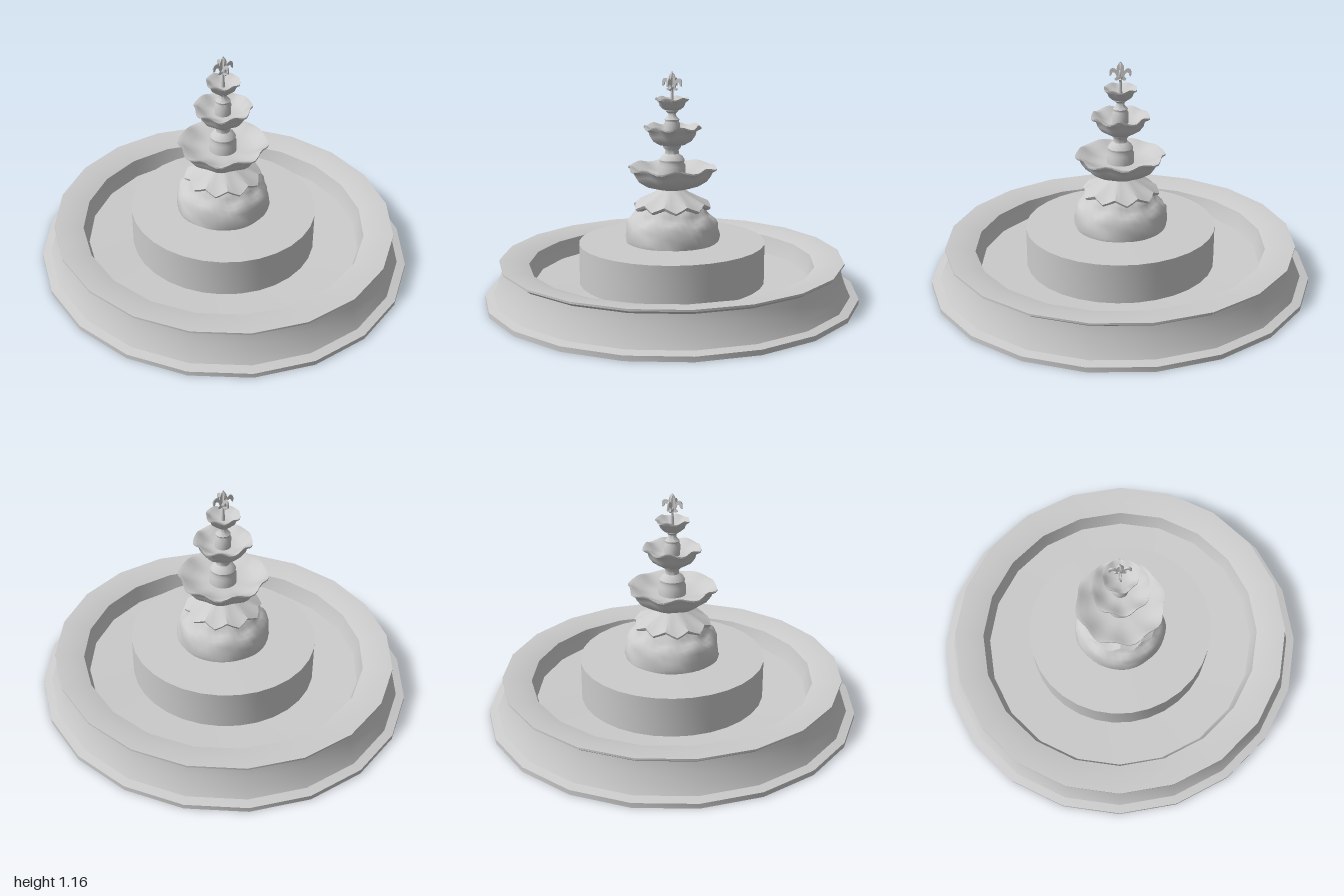
import * as THREE from 'three';
import { toCreasedNormals } from 'three/addons/utils/BufferGeometryUtils.js';

const material = new THREE.MeshStandardMaterial({ color: 0xcccccc, side: THREE.DoubleSide });

function add(group, name, geometry) {
  const mesh = new THREE.Mesh(geometry, material);
  mesh.name = name;
  group.add(mesh);
  return mesh;
}

// Lathe from [radius, height] pairs; warp(angle, r, y) may return a new [r, y]
function turned(profile, sides, crease, warp) {
  const geo = new THREE.LatheGeometry(profile.map(([r, y]) => new THREE.Vector2(r, y)), sides);
  if (warp) {
    const p = geo.attributes.position;
    for (let i = 0; i < p.count; i++) {
      const a = Math.atan2(p.getX(i), p.getZ(i));
      const [r, y] = warp(a, Math.hypot(p.getX(i), p.getZ(i)), p.getY(i));
      p.setXYZ(i, r * Math.sin(a), y, r * Math.cos(a));
    }
  }
  return toCreasedNormals(geo, crease);
}

// Scalloped bowl: the waves fade in towards the rim
function bowl(profile, rimRadius, lobes, wave, phase) {
  return turned(profile, 48, 0.9, (a, r, y) => {
    const k = Math.pow(r / rimRadius, 4);
    const c = Math.cos(lobes * a + phase);
    return [r * (1 + 0.035 * k * c), y - wave * k * c];
  });
}

function finialShape() {
  const s = new THREE.Shape();
  s.moveTo(0.006, 1.03);
  s.lineTo(0.006, 1.07);
  // side petal curling outwards
  s.quadraticCurveTo(0.026, 1.058, 0.03, 1.075);
  s.quadraticCurveTo(0.018, 1.078, 0.02, 1.088);
  s.quadraticCurveTo(0.026, 1.112, 0.042, 1.105);
  s.quadraticCurveTo(0.042, 1.09, 0.053, 1.087);
  s.quadraticCurveTo(0.06, 1.125, 0.038, 1.128);
  s.quadraticCurveTo(0.018, 1.125, 0.009, 1.09);
  // middle petal
  s.quadraticCurveTo(0.032, 1.13, 0, 1.16);
  const half = s.getPoints(6);
  const mirror = half.slice(0, -1).reverse().map(p => new THREE.Vector2(-p.x, p.y));
  return new THREE.Shape([...half, ...mirror]);
}

export function createModel() {
  const model = new THREE.Group();
  model.name = 'fountain';

  // Pool: flared outer wall, lip, inner wall and floor, open underneath
  const pool = add(model, 'pool', turned([
    [1, 0], [1, 0.025], [0.955, 0.035], [0.935, 0.075], [0.91, 0.14], [0.9, 0.18],
    [0.92, 0.195], [0.92, 0.205], [0.84, 0.2], [0.765, 0.18], [0.755, 0.13], [0.74, 0.085], [0.495, 0.075],
  ], 20, 0.8));
  pool.scale.z = 0.967;

  // Raised round platform with a hole below the rock
  const platform = add(model, 'platform', turned([
    [0.498, 0.075], [0.498, 0.283], [0.23, 0.287],
  ], 32, 0.6));
  platform.scale.z = 0.97;

  // Rough rock pedestal
  add(model, 'rockBase', turned([
    [0.242, 0.28], [0.246, 0.3], [0.24, 0.34], [0.236, 0.375], [0.222, 0.405],
    [0.2, 0.42], [0.182, 0.44], [0.172, 0.465], [0.15, 0.48],
  ], 40, 1.2, (a, r, y) => {
    const bump = 0.014 * Math.sin(5 * a + 30 * y) + 0.01 * Math.sin(9 * a - 55 * y);
    const k = y < 0.29 ? 0.2 : 0.6;
    return [r * (1 + bump * k * 2), y + (y < 0.29 ? 0 : bump * 0.6)];
  }));

  // Folded skirt sitting over the rock
  add(model, 'skirt', turned([
    [0.165, 0.46], [0.19, 0.468], [0.196, 0.48], [0.14, 0.51], [0.085, 0.54], [0.05, 0.565],
  ], 40, 0.5, (a, r, y) => {
    const k = r / 0.196, c = Math.cos(10 * a);
    return [r * (1 + 0.04 * k * c), y - 0.013 * k * k * c];
  }));

  // Three bowls, each with its hollow and the neck rising from it
  add(model, 'largeBowl', bowl([
    [0.05, 0.555], [0.085, 0.562], [0.14, 0.578], [0.18, 0.605], [0.2, 0.635], [0.207, 0.655],
    [0.226, 0.668], [0.226, 0.676], [0.205, 0.67], [0.17, 0.645], [0.11, 0.63], [0.07, 0.63],
  ], 0.226, 8, 0.008, 0.4));
  add(model, 'lowerNeck', turned([
    [0.07, 0.625], [0.07, 0.68], [0.062, 0.695], [0.066, 0.71], [0.055, 0.728],
    [0.036, 0.742], [0.034, 0.76], [0.045, 0.775], [0.05, 0.79],
  ], 24, 0.8));
  add(model, 'middleBowl', bowl([
    [0.04, 0.783], [0.07, 0.79], [0.1, 0.808], [0.118, 0.835], [0.124, 0.86],
    [0.146, 0.876], [0.146, 0.884], [0.125, 0.878], [0.1, 0.852], [0.06, 0.842], [0.03, 0.842],
  ], 0.146, 7, 0.008, 1));
  add(model, 'upperNeck', turned([
    [0.04, 0.84], [0.042, 0.895], [0.035, 0.908], [0.038, 0.918], [0.022, 0.935],
    [0.02, 0.95], [0.034, 0.962], [0.034, 0.972],
  ], 20, 0.8));
  add(model, 'smallBowl', bowl([
    [0.02, 0.964], [0.045, 0.97], [0.062, 0.985], [0.07, 1.008],
    [0.085, 1.022], [0.085, 1.028], [0.07, 1.02], [0.05, 1], [0.008, 0.994],
  ], 0.085, 6, 0.005, 0.6));

  // Finial: stem with two crossed petal plates
  const finial = new THREE.Group();
  finial.name = 'finial';
  add(finial, 'stem', new THREE.CylinderGeometry(0.006, 0.01, 0.09, 10)).position.y = 1.035;
  add(finial, 'collar', new THREE.SphereGeometry(0.013, 12, 8)).position.y = 1.082;
  const plate = new THREE.ExtrudeGeometry(finialShape(), { depth: 0.008, bevelEnabled: false });
  plate.translate(0, 0, -0.004);
  for (let i = 0; i < 2; i++) {
    add(finial, 'petalPlate', plate).rotation.y = -0.25 + i * Math.PI / 2;
  }
  model.add(finial);

  return model;
}
